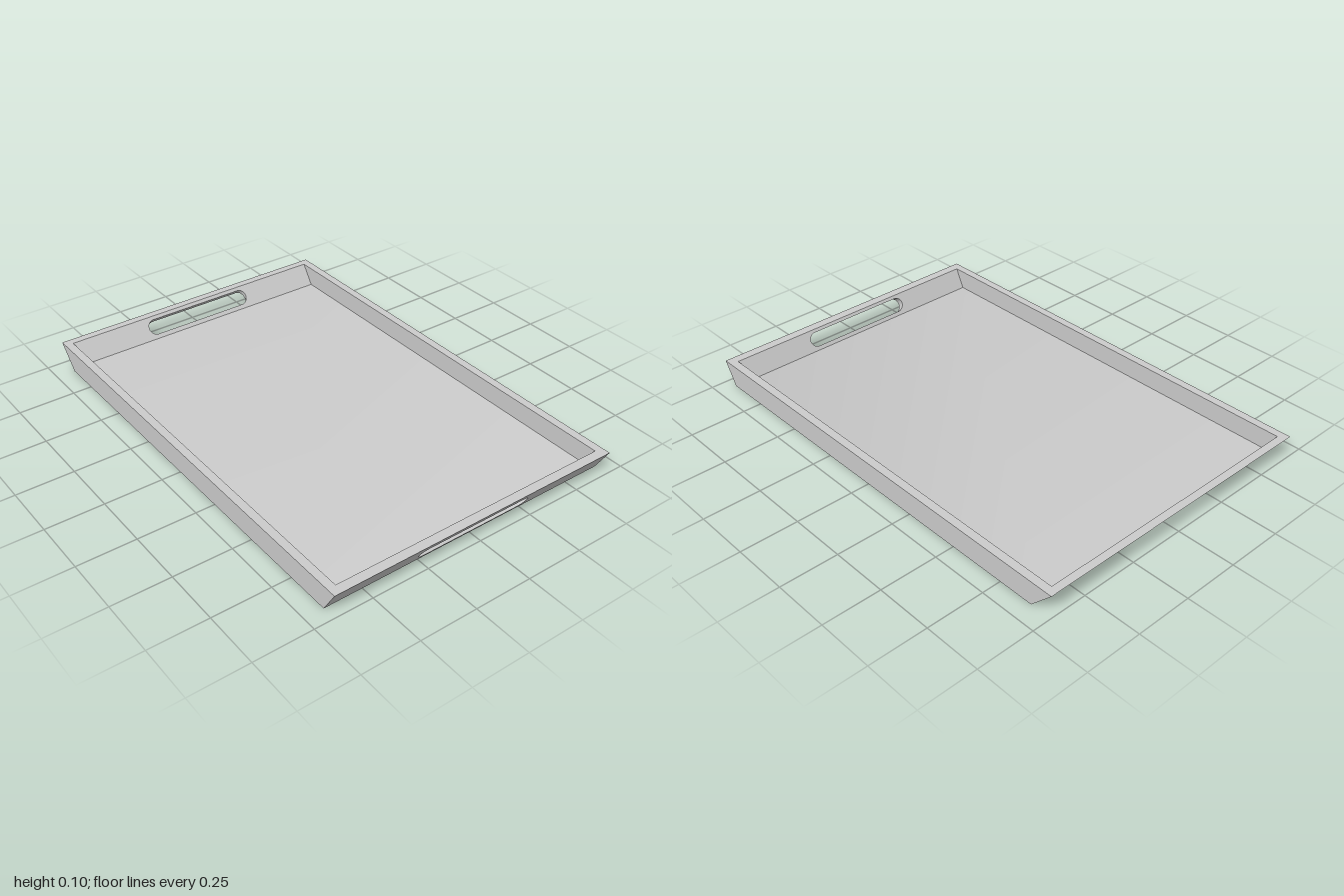
import * as THREE from 'three';
import { toCreasedNormals } from 'three/addons/utils/BufferGeometryUtils.js';

const H = 0.102;      // rim height
const FLOOR = 0.015;  // floor thickness
const X = 0.667;      // half width
const XI = 0.631;     // half width inside the side walls

// z of each end wall at its foot and rim, outside and inside
const FRONT = { outer: [0.94, 1], inner: [0.915, 0.958] };
const BACK = { outer: [-0.905, -1], inner: [-0.905, -0.965] };

const material = new THREE.MeshStandardMaterial({ color: 0xcccccc });

function addMesh(group, name, geometry) {
  const mesh = new THREE.Mesh(toCreasedNormals(geometry, 0.6), material);
  mesh.name = name;
  group.add(mesh);
}

// Extrude a [z, y] profile across x
function acrossX(points, x0, x1) {
  const shape = new THREE.Shape(points.map(([z, y]) => new THREE.Vector2(-z, y)));
  const g = new THREE.ExtrudeGeometry(shape, { depth: x1 - x0, bevelEnabled: false });
  return g.rotateY(Math.PI / 2).translate(x0, 0, 0);
}

// Sloping end wall with a round-ended handle slot cut square to its face
function endWall({ outer, inner }) {
  const shape = new THREE.Shape();
  shape.moveTo(-XI, 0).lineTo(XI, 0).lineTo(XI, H).lineTo(-XI, H).closePath();
  const slot = new THREE.Path();
  const rx = 0.034, ry = 0.0285, cy = 0.041, cx = 0.264 - rx;
  slot.absellipse(cx, cy, rx, ry, -Math.PI / 2, Math.PI / 2, false);
  slot.absellipse(-cx, cy, rx, ry, Math.PI / 2, Math.PI * 1.5, false);
  slot.closePath();
  shape.holes.push(slot);

  const g = new THREE.ExtrudeGeometry(shape, { depth: 1, bevelEnabled: false, curveSegments: 16 });
  const p = g.attributes.position;
  const outerDepth = outer[1] > 0 ? 1 : 0;
  for (let i = 0; i < p.count; i++) {
    let y = p.getY(i), z;
    if (Math.round(p.getZ(i)) === outerDepth) {
      z = THREE.MathUtils.lerp(outer[0], outer[1], y / H);
    } else {
      const onSlot = Math.abs(p.getX(i)) < 0.3;
      y = onSlot ? y + 0.019 : THREE.MathUtils.lerp(FLOOR, H, y / H);
      z = THREE.MathUtils.lerp(inner[0], inner[1], (y - FLOOR) / (H - FLOOR));
    }
    p.setXYZ(i, p.getX(i), y, z);
  }
  return g;
}

export function createModel() {
  const tray = new THREE.Group();
  tray.name = 'servingTray';

  // Floor
  addMesh(tray, 'floor', acrossX([
    [BACK.outer[0], 0], [FRONT.outer[0], 0],
    [FRONT.inner[0], FLOOR], [BACK.inner[0], FLOOR],
  ], -XI, XI));

  // Upright side walls with slanted ends
  const side = [
    [BACK.outer[0], 0], [FRONT.outer[0], 0], [FRONT.outer[1], H], [BACK.outer[1], H],
  ];
  addMesh(tray, 'leftWall', acrossX(side, XI, X));
  addMesh(tray, 'rightWall', acrossX(side, -X, -XI));

  // Sloping end walls with handles
  addMesh(tray, 'frontHandleWall', endWall(FRONT));
  addMesh(tray, 'backHandleWall', endWall(BACK));
  return tray;
}
